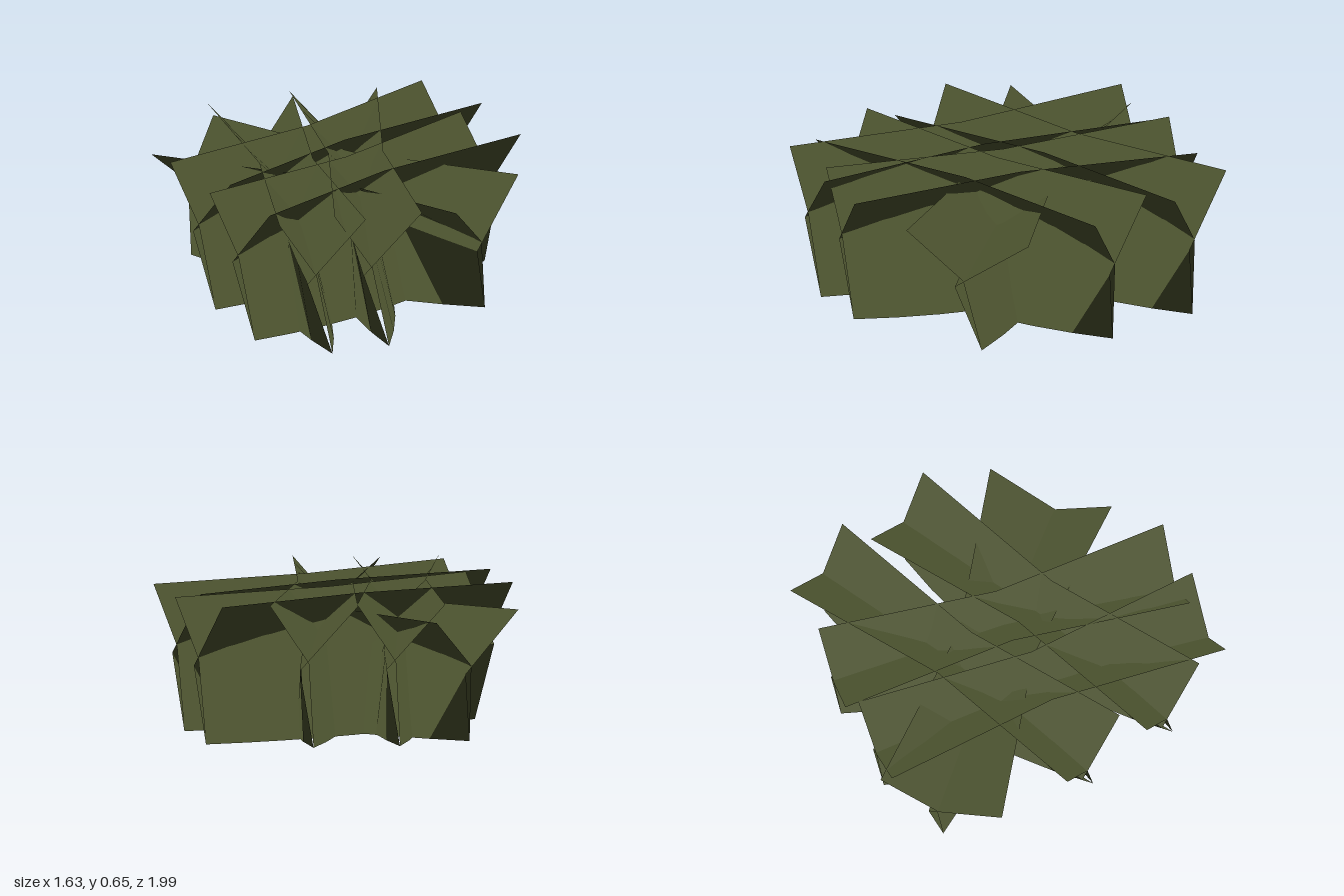
import * as THREE from 'three';

// Each blade pair: centre-line ends at the rim [x, z], rim height, half width at ends and middle
const BLADES = [
  { name: 'crossBlade', a: [-0.79, -0.11], b: [0.787, 0.035], top: 0.575, end: 0.29, mid: 0.18, fold: 0.35, arch: 0.45 },
  { name: 'longBlade', a: [0.19, -0.92], b: [-0.425, 0.515] },
  { name: 'longBlade', a: [0.515, -0.62], b: [-0.1, 0.81] },
  { name: 'longBlade', a: [-0.315, -0.73], b: [0.53, 0.68] },
  { name: 'longBlade', a: [-0.61, -0.46], b: [0.34, 0.875] },
];

// Columns along a blade, from one end to the other
const COLUMNS = [-1, -0.75, -0.5, -0.25, 0, 0.25, 0.5, 0.75, 1];

// One folded sheet: it bulges to one side at the ground, crosses its twin at
// the twisted fold line, and flares to the other side at the rim
function sheetGeometry(blade, side) {
  const { a, b, top = 0.655, end = 0.2, mid = 0.125, fold = 0.39, arch = 0.48 } = blade;
  const A = new THREE.Vector2(...a), B = new THREE.Vector2(...b);
  const centre = A.clone().add(B).multiplyScalar(0.5);
  const half = A.distanceTo(B) / 2;
  const u = B.clone().sub(A).normalize();
  const v = new THREE.Vector2(-u.y, u.x);
  const points = [];
  const add = (along, across, y) => {
    const p = centre.clone().addScaledVector(u, along * half).addScaledVector(v, across);
    points.push(p.x, y, p.y);
  };
  for (const e of COLUMNS) add(e * 0.945, -0.03 - 0.025 * e - side * 0.12 * (1 - e * e), 0);
  for (const e of COLUMNS) {
    const endHeight = Math.sign(e) === side ? fold : fold - 0.035;
    add(e * 0.98, e * 0.045 - side * (0.02 + 0.04 * (1 - e * e)), THREE.MathUtils.lerp(arch, endHeight, Math.abs(e)));
  }
  for (const e of COLUMNS) add(e, side * THREE.MathUtils.lerp(mid, end, Math.abs(e)), top);

  // wound so that the flared rim faces upward
  const n = COLUMNS.length;
  const index = [];
  for (let r = 0; r < 2; r++) {
    for (let c = 0; c < n - 1; c++) {
      const i = r * n + c;
      index.push(i, i + n, i + 1, i + 1, i + n, i + n + 1);
    }
  }
  if (side < 0) index.reverse();

  // foliage normals: nearly straight up, leaning a little to the sheet's front
  const normal = new THREE.Vector3(-side * v.x * 0.1, 1, -side * v.y * 0.1).normalize();
  const normals = [];
  for (let i = 0; i < points.length / 3; i++) normals.push(...normal.toArray());
  const g = new THREE.BufferGeometry();
  g.setAttribute('position', new THREE.Float32BufferAttribute(points, 3));
  g.setAttribute('normal', new THREE.Float32BufferAttribute(normals, 3));
  g.setIndex(index);
  return g;
}

export function createModel() {
  const group = new THREE.Group();
  group.name = 'grassClump';
  const green = new THREE.MeshStandardMaterial({ color: 0x4b522e, side: THREE.DoubleSide });
  green.name = 'olive green';

  BLADES.forEach((blade, i) => {
    const pair = new THREE.Group();
    pair.name = blade.name + (i || '');
    for (const side of [-1, 1]) {
      const sheet = new THREE.Mesh(sheetGeometry(blade, side), green);
      sheet.name = side < 0 ? 'innerSheet' : 'outerSheet';
      pair.add(sheet);
    }
    group.add(pair);
  });
  return group;
}
